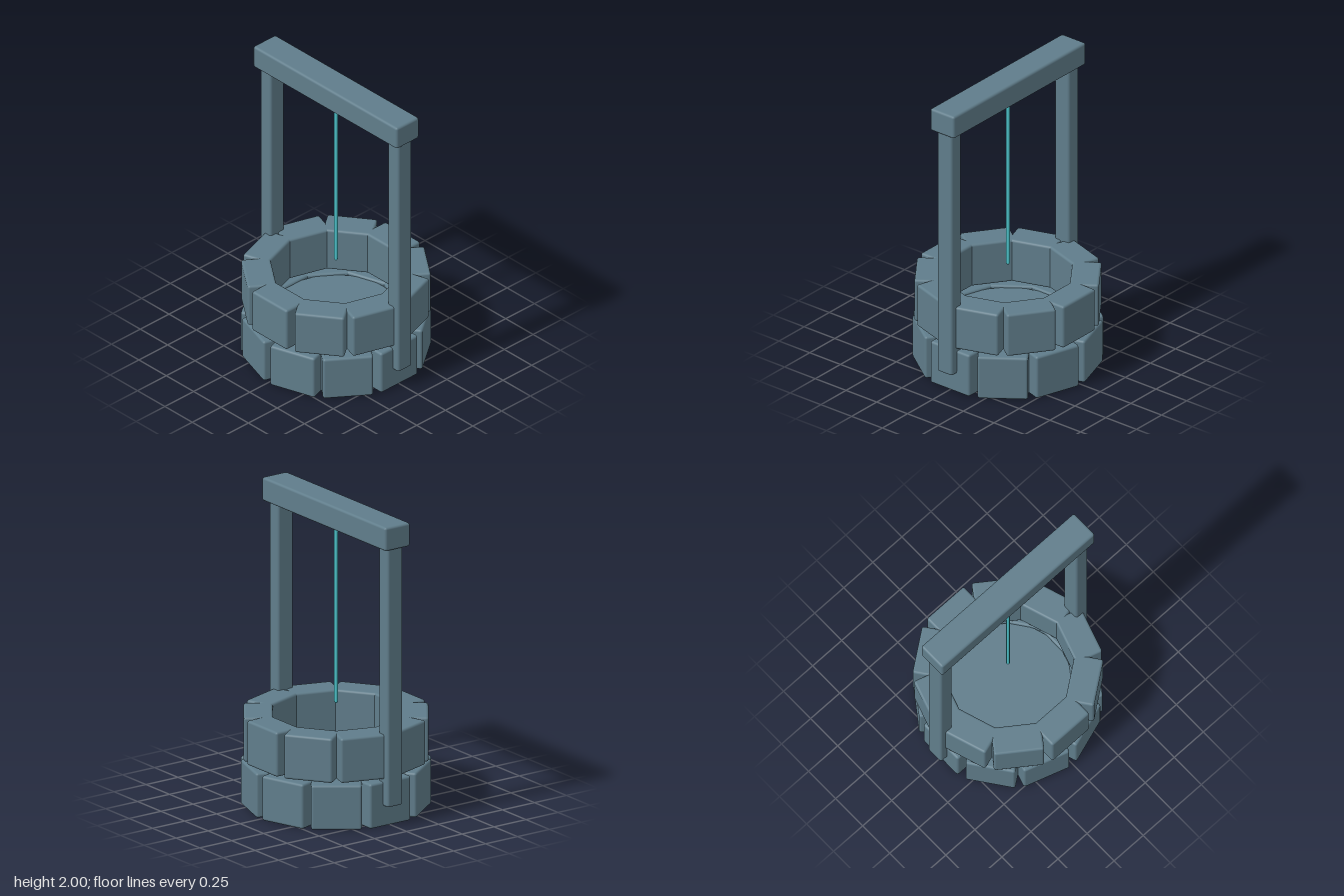
import * as THREE from 'three';
import { RoundedBoxGeometry } from 'three/addons/geometries/RoundedBoxGeometry.js';

export function createModel() {
  const stone = new THREE.MeshStandardMaterial({ color: 0x607d8b });
  stone.name = 'slate blue';
  const cyan = new THREE.MeshStandardMaterial({ color: 0x4dc4cc });
  cyan.name = 'rope cyan';

  const model = new THREE.Group();
  model.name = 'well';

  const add = (parent, name, geometry, material, x, y, z) => {
    const mesh = new THREE.Mesh(geometry, material);
    mesh.name = name;
    mesh.position.set(x, y, z);
    parent.add(mesh);
    return mesh;
  };
  const block = (w, h, d, bevel = 0.016) => new RoundedBoxGeometry(w, h, d, 2, bevel);

  // Two staggered rings of ten stones
  const count = 10, midRadius = 0.49;
  const stoneGeometry = block(0.32, 0.295, 0.185);
  const addRing = (name, y, offset) => {
    const ring = new THREE.Group();
    ring.name = name;
    for (let i = 0; i < count; i++) {
      const a = ((i + offset) / count) * Math.PI * 2;
      const s = add(ring, 'stone', stoneGeometry, stone, Math.sin(a) * midRadius, y, Math.cos(a) * midRadius);
      s.rotation.y = a;
    }
    model.add(ring);
  };
  addRing('lowerRing', 0.1475, 0.5);
  addRing('upperRing', 0.4625, 0);

  // Thick disc filling the shaft
  add(model, 'shaftFloor', new THREE.CylinderGeometry(0.405, 0.405, 0.13, 32), stone, 0, 0.215, 0);

  // Posts and crossbeam
  const postGeometry = block(0.1, 1.75, 0.12);
  for (const side of [-1, 1]) {
    add(model, side > 0 ? 'leftPost' : 'rightPost', postGeometry, stone, side * 0.583, 1.01, 0);
  }
  add(model, 'crossbeam', block(1.316, 0.156, 0.196), stone, 0, 1.922, 0);

  // Rope with a tapered lower end
  const ropeProfile = [[0, 0.655], [0.006, 0.657], [0.013, 0.67], [0.013, 1.86], [0, 1.86]]
    .map(([r, y]) => new THREE.Vector2(r, y));
  add(model, 'rope', new THREE.LatheGeometry(ropeProfile, 8), cyan, 0, 0, 0);

  return model;
}
